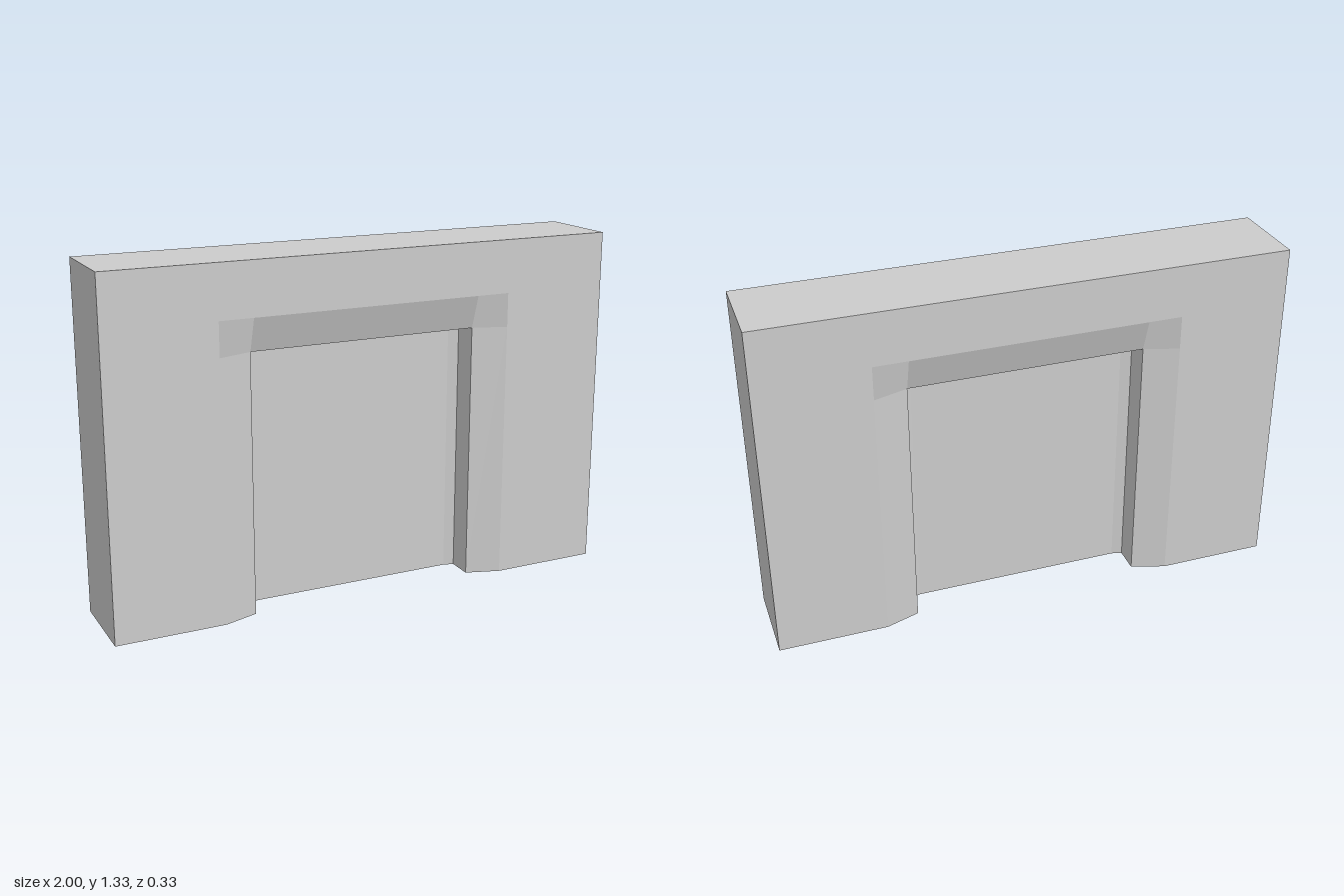
import * as THREE from 'three';

const H = 1.333, F = 0.165;             // wall height and half depth
const W = 0.45, T = 1.0, I = 0.123;     // inner opening: half width, top, half depth
const WO = 0.58, TO = 1.13;             // flared outer opening

const material = () => new THREE.MeshStandardMaterial({ color: 0xcccccc });

// Repeats the quads of one quarter (x > 0, z > 0) by mirroring in x and z.
// Each quad gets one flat normal taken from its diagonals.
function mirroredQuads(quads) {
  const pos = [], nor = [];
  for (const sx of [1, -1]) for (const sz of [1, -1]) for (const q of quads) {
    const p = q.map(([x, y, z]) => new THREE.Vector3(x * sx, y, z * sz));
    const n = p[2].clone().sub(p[0]).cross(p[3].clone().sub(p[1])).normalize();
    n.multiplyScalar(sx * sz);
    const order = sx * sz > 0 ? [0, 1, 2, 0, 2, 3] : [0, 2, 1, 0, 3, 2];
    for (const i of order) {
      pos.push(...p[i].toArray());
      nor.push(...n.toArray());
    }
  }
  const g = new THREE.BufferGeometry();
  g.setAttribute('position', new THREE.Float32BufferAttribute(pos, 3));
  g.setAttribute('normal', new THREE.Float32BufferAttribute(nor, 3));
  return g;
}

export function createModel() {
  const group = new THREE.Group();
  group.name = 'doorwayWall';
  const add = (name, geometry) => {
    const mesh = new THREE.Mesh(geometry, material());
    mesh.name = name;
    group.add(mesh);
  };

  // Outer wall: face beside and above the opening, end, top and underside
  add('wall', mirroredQuads([
    [[WO, 0, F], [1, 0, F], [1, H, F], [WO, H, F]],
    [[0, TO, F], [WO, TO, F], [WO, H, F], [0, H, F]],
    [[1, 0, F], [1, 0, 0], [1, H, 0], [1, H, F]],
    [[0, H, F], [1, H, F], [1, H, 0], [0, H, 0]],
    [[1, 0, F], [WO, 0, F], [WO, 0, 0], [1, 0, 0]],
    [[WO, 0, F], [W, 0, I], [W, 0, 0], [WO, 0, 0]],
  ]));

  // Flared edge of the opening: side, top and corner
  add('openingBevel', mirroredQuads([
    [[W, 0, I], [WO, 0, F], [WO, T, F], [W, T, I]],
    [[0, T, I], [W, T, I], [W, TO, F], [0, TO, F]],
    [[W, T, I], [WO, T, F], [WO, TO, F], [W, TO, F]],
  ]));

  // Straight lining of the opening: jamb and soffit
  add('openingLining', mirroredQuads([
    [[W, 0, 0], [W, 0, I], [W, T, I], [W, T, 0]],
    [[0, T, 0], [W, T, 0], [W, T, I], [0, T, I]],
  ]));

  // Thin panel closing the opening, thickened towards the jambs
  const half = [[-W, 0.023], [-0.41, 0.012], [0.41, 0.012], [W, 0.023]];
  const outline = [...half, ...half.map(([x, z]) => [x, -z]).reverse()];
  const plan = new THREE.Shape(outline.map(([x, z]) => new THREE.Vector2(x, z)));
  const panel = new THREE.ExtrudeGeometry(plan, { depth: T, bevelEnabled: false });
  panel.rotateX(-Math.PI / 2);
  add('doorPanel', panel);

  return group;
}
